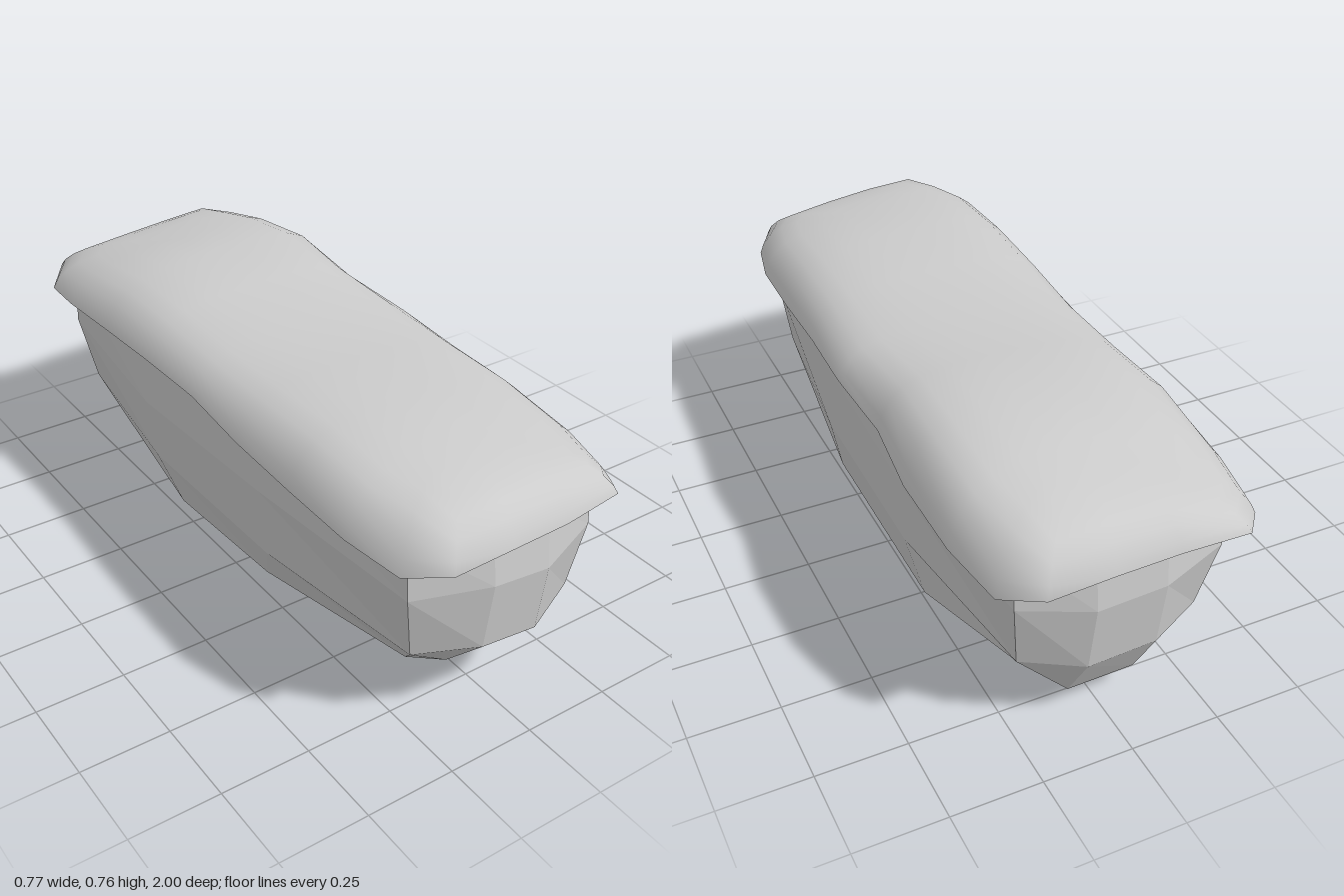
import * as THREE from 'three';
import { mergeVertices } from 'three/addons/utils/BufferGeometryUtils.js';

const V = (x, y, z) => new THREE.Vector3(x, y, z);

// Skin a stack of closed rings (counter-clockwise from above, listed low to high),
// plus any loose triangles
function loft(rings, triangles = []) {
  const n = rings[0].length;
  const corners = [];
  for (let k = 0; k < rings.length - 1; k++) {
    for (let i = 0; i < n; i++) {
      const j = (i + 1) % n;
      const [a, b, d, e] = [rings[k][i], rings[k][j], rings[k + 1][i], rings[k + 1][j]];
      corners.push(a, b, d, b, e, d);
    }
  }
  corners.push(...triangles.flat());
  const geometry = mergeVertices(new THREE.BufferGeometry().setFromPoints(corners), 1e-4);
  geometry.computeVertexNormals();
  return geometry;
}

// Faceted rock: four-cornered rings with bulging sides over an off-centre keel
function rockGeometry() {
  // y, corner x (left, right), corner z, end z, side x (left, right)
  const levels = [
    [0.25, -0.26, 0.245, 0.83, 0.91, -0.33, 0.31],
    [0.45, -0.30, 0.27, 0.86, 0.935, -0.355, 0.315],
    [0.61, -0.30, 0.27, 0.85, 0.915, -0.345, 0.305],
  ];
  const low = [
    V(-0.2, 0.15, 0.74), V(-0.1, 0.12, 0.78), V(0.09, 0.1, 0.78),
    V(0.2, 0.12, 0.7), V(0.285, 0.115, 0.27), V(0.285, 0.105, -0.36),
    V(0.2, 0.15, -0.73), V(0.09, 0.08, -0.82), V(-0.1, 0.085, -0.82),
    V(-0.2, 0.15, -0.72), V(-0.28, 0.09, -0.25), V(-0.28, 0.12, 0.22),
  ];
  const rings = [low];
  levels.forEach(([y, xl, xr, zc, ze, sl, sr], k) => {
    const wave = k === 1 ? 0.03 : 0.01;
    rings.push([
      V(xl, y, zc), V(-0.1, y + 0.006, ze), V(0.07, y - 0.012, ze),
      V(xr, y - 0.005, zc), V(sr, y + wave, 0.29), V(sr, y - wave * 0.5, -0.29),
      V(xr, y, -zc), V(0.09, y - 0.01, -ze), V(-0.1, y, -ze),
      V(xl, y, -zc), V(sl, y - wave * 0.5, -0.3), V(sl, y + wave * 0.5, 0.3),
    ]);
  });

  // Underside fans out to three keel points
  const K = V(-0.08, 0, 0.17), B = V(0.05, 0.017, -0.21), N = V(-0.2, 0.045, -0.2);
  const hubs = [K, K, K, K, B, B, B, B, N, N, N, K];
  const bottom = [[K, N, B]];
  low.forEach((p, i) => {
    const previous = hubs[(i + 11) % 12];
    bottom.push([low[(i + 1) % 12], p, hubs[i]]);
    if (previous !== hubs[i]) bottom.push([p, previous, hubs[i]]);
  });
  return loft(rings, bottom);
}

// Rim of the soft top: stations along the sides, then the two ends
function rimPoints() {
  // z, left x, left y, right x, right y
  const stations = [
    [0.89, -0.35, 0.56, 0.31, 0.55], [0.73, -0.39, 0.585, 0.345, 0.56],
    [0.5, -0.39, 0.59, 0.355, 0.573], [0.25, -0.385, 0.595, 0.36, 0.59],
    [0, -0.37, 0.605, 0.375, 0.607], [-0.25, -0.37, 0.6, 0.36, 0.597],
    [-0.48, -0.38, 0.6, 0.385, 0.587], [-0.73, -0.375, 0.58, 0.38, 0.575],
    [-0.9, -0.355, 0.56, 0.34, 0.545],
  ];
  const front = [V(-0.28, 0.6, 0.995), V(-0.1, 0.595, 0.985), V(0.08, 0.585, 0.97), V(0.26, 0.59, 0.95)];
  const back = [V(0.26, 0.59, -1), V(0.08, 0.585, -0.985), V(-0.1, 0.585, -0.98), V(-0.28, 0.59, -0.99)];
  const right = stations.map(([z, , , x, y]) => V(x, y, z));
  const left = stations.map(([z, x, y]) => V(x, y, z)).reverse();
  return [...front, ...right, ...back, ...left];
}

// Rolling height of the top surface
function topHeight(x, z) {
  const bump = (centre, height) => height * Math.exp(-(((z - centre) / 0.27) ** 2));
  return 0.716 + bump(0.45, 0.022) + bump(-0.45, 0.045) - 0.1 * x * z - 0.2 * x * x - 0.03 * z ** 4;
}

function capRing(rim, inset, rise) {
  return rim.map(p => {
    const spine = V(0, p.y, THREE.MathUtils.clamp(p.z, -0.65, 0.65));
    const q = p.clone().lerp(spine, inset);
    q.y = THREE.MathUtils.lerp(p.y, topHeight(q.x, q.z), rise);
    return q;
  });
}

export function createModel() {
  const model = new THREE.Group();
  const add = (name, geometry, options) => {
    const mesh = new THREE.Mesh(geometry, new THREE.MeshStandardMaterial({ color: 0xcccccc, ...options }));
    mesh.name = name;
    model.add(mesh);
  };

  add('rockBase', rockGeometry(), { flatShading: true });

  // Rounded blanket over the rock: inset towards the spine, share of the full height
  const rim = rimPoints();
  const profile = [[0, 0], [0.03, 0.3], [0.1, 0.62], [0.2, 0.84], [0.34, 0.95], [0.55, 1], [0.78, 1], [1, 1]];
  add('softTop', loft(profile.map(([inset, rise]) => capRing(rim, inset, rise))), { side: THREE.DoubleSide });

  // Overhang turned in towards the rock
  add('overhangUnderside', loft([capRing(rim, 0.3, 0.12), rim]), { flatShading: true, side: THREE.DoubleSide });

  return model;
}
